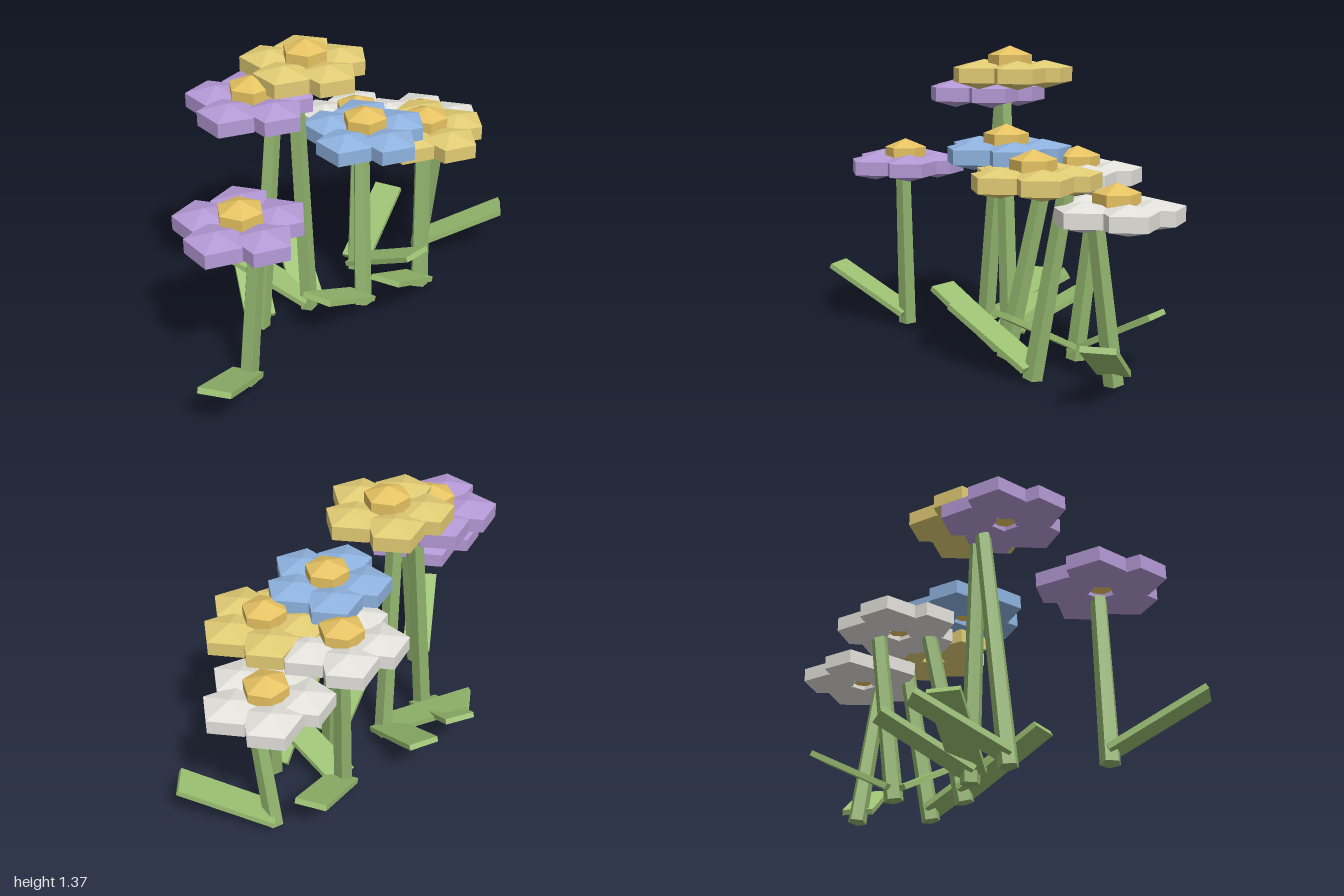
import * as THREE from 'three';

const mat = (color) => new THREE.MeshStandardMaterial({ color, flatShading: true });

const PURPLE = mat(0xb59ad6);
const YELLOW = mat(0xe2cc74);
const BLUE = mat(0x8fb3e0);
const WHITE = mat(0xe4e2dc);
const CENTRE = mat(0xe6c262);
const STEM = mat(0x92b56e);
const LEAF = mat(0x9bc072);

// Shared low-poly shapes
const petalGeo = new THREE.SphereGeometry(0.147, 5, 3).rotateY(-Math.PI / 2).scale(1, 0.43, 1);
const centreGeo = new THREE.SphereGeometry(0.113, 6, 3).rotateY(Math.PI / 2).scale(1, 0.71, 1);
const leafGeo = new THREE.BoxGeometry(0.14, 0.025, 0.45).translate(0, 0, 0.225);

// base: foot of the stem [x, z]; y: height of the blossom;
// lean: where the stem top drifts to [dx, dz]; leaves: directions [dx, dz]
const FLOWERS = [
  { petals: PURPLE, base: [0.2, 0.655], y: 0.795, lean: [0.035, -0.05], leaves: [[0.23, 0.31]] },
  { petals: PURPLE, base: [-0.087, 0.38], y: 1.148, lean: [-0.02, -0.125], leaves: [[-0.39, -0.18]] },
  { petals: YELLOW, base: [-0.068, 0.115], y: 1.245, lean: [0, 0.06], leaves: [[-0.37, -0.14], [-0.345, 0.25]] },
  { petals: BLUE, base: [0.075, -0.1], y: 0.92, lean: [-0.15, -0.105], leaves: [[0.1, 0.3]] },
  { petals: WHITE, base: [-0.178, -0.27], y: 0.829, lean: [-0.065, -0.065], leaves: [[0.4, -0.04], [-0.17, -0.37]] },
  { petals: YELLOW, base: [0.13, -0.415], y: 0.845, lean: [-0.105, -0.085], leaves: [[0.14, 0.33]] },
  { petals: WHITE, base: [-0.12, -0.643], y: 0.72, lean: [0.1, 0], leaves: [[0.31, -0.315]] },
];

function add(parent, name, geometry, material) {
  const mesh = new THREE.Mesh(geometry, material);
  mesh.name = name;
  parent.add(mesh);
  return mesh;
}

function makeFlower({ petals, base, y, lean, leaves }) {
  const flower = new THREE.Group();
  flower.name = 'flower';
  flower.position.set(base[0], 0, base[1]);

  // Leaning five-sided stem
  const foot = new THREE.Vector3(0, 0.012, 0);
  const axis = new THREE.Vector3(lean[0], y - 0.03, lean[1]).sub(foot);
  const length = axis.length();
  const stemGeo = new THREE.CylinderGeometry(0.037, 0.044, length, 5).translate(0, length / 2, 0);
  const stem = add(flower, 'stem', stemGeo, STEM);
  stem.position.copy(foot);
  stem.quaternion.setFromUnitVectors(new THREE.Vector3(0, 1, 0), axis.normalize());

  // Flat leaves rising outwards from the foot
  for (const [dx, dz] of leaves) {
    const leaf = add(flower, 'leaf', leafGeo, LEAF);
    leaf.position.y = 0.06;
    leaf.rotation.set(-0.49, Math.atan2(dx, dz), 0, 'YXZ');
  }

  // Blossom: ring of five petals around a raised centre
  const blossom = new THREE.Group();
  blossom.name = 'blossom';
  blossom.position.y = y;
  flower.add(blossom);
  for (let i = 0; i < 5; i++) {
    const a = (i / 5) * Math.PI * 2;
    add(blossom, 'petal', petalGeo, petals).position.set(0.156 * Math.cos(a), 0, 0.156 * Math.sin(a));
  }
  add(blossom, 'flowerCentre', centreGeo, CENTRE).position.y = 0.046;
  return flower;
}

export function createModel() {
  const model = new THREE.Group();
  model.name = 'flowerPatch';
  for (const spec of FLOWERS) model.add(makeFlower(spec));
  return model;
}
